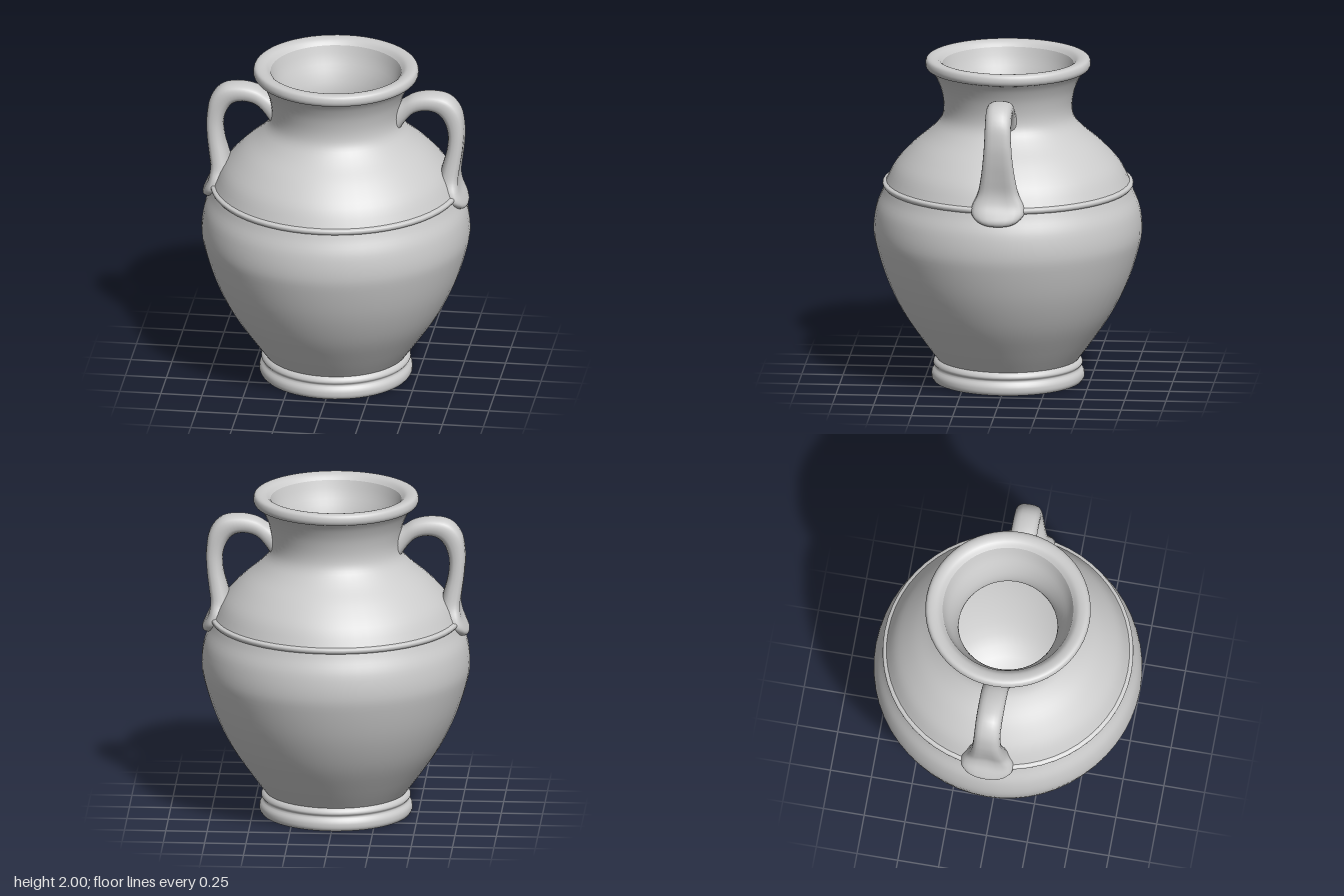
import * as THREE from 'three';

const clay = new THREE.MeshStandardMaterial({ color: 0xcccccc, side: THREE.DoubleSide });

// Smooth curve through [radius, height] points, sampled for a lathe
const smooth = (pts, per = 3) =>
  new THREE.SplineCurve(pts.map(p => new THREE.Vector2(...p))).getPoints((pts.length - 1) * per);

function lathe(name, pts) {
  const mesh = new THREE.Mesh(new THREE.LatheGeometry(pts, 56), clay);
  mesh.name = name;
  return mesh;
}

// Strap handle: oval sections swept between an outer and an inner edge line
function handleGeometry() {
  // outer x, outer y, inner x, inner y, half width, groove depth
  const stations = [
    [0.34, 1.76, 0.36, 1.56, 0.09, 0],
    [0.41, 1.80, 0.42, 1.66, 0.08, 0],
    [0.48, 1.84, 0.48, 1.725, 0.08, 0],
    [0.58, 1.858, 0.56, 1.745, 0.08, 0],
    [0.69, 1.84, 0.625, 1.725, 0.08, 0],
    [0.765, 1.76, 0.665, 1.67, 0.08, 0.05],
    [0.79, 1.64, 0.685, 1.59, 0.083, 0.12],
    [0.79, 1.53, 0.677, 1.49, 0.092, 0.2],
    [0.78, 1.42, 0.65, 1.39, 0.106, 0.28],
    [0.77, 1.33, 0.63, 1.30, 0.125, 0.3],
    [0.775, 1.26, 0.65, 1.24, 0.155, 0.22],
    [0.795, 1.20, 0.67, 1.20, 0.16, 0.06],
    [0.808, 1.16, 0.69, 1.165, 0.13, 0],
    [0.80, 1.135, 0.70, 1.14, 0.085, 0],
    [0.77, 1.125, 0.72, 1.13, 0.02, 0],
  ];
  const curve = pick => new THREE.CatmullRomCurve3(
    stations.map(s => new THREE.Vector3(...pick(s))), false, 'catmullrom', 0.5);
  const outer = curve(s => [s[0], s[1], s[4]]);
  const inner = curve(s => [s[2], s[3], s[5]]);
  const rows = 56, sides = 20, pos = [], index = [];
  for (let i = 0; i <= rows; i++) {
    const o = outer.getPoint(i / rows), n = inner.getPoint(i / rows);
    for (let j = 0; j < sides; j++) {
      const a = j / sides * Math.PI * 2, c = Math.cos(a), s = Math.sin(a);
      let h = Math.sign(c) * Math.abs(c) ** 0.8;
      if (c > 0) h *= 1 - n.z * c ** 6;
      const k = (1 + h) / 2;
      pos.push(n.x + (o.x - n.x) * k, n.y + (o.y - n.y) * k, o.z * Math.sign(s) * Math.abs(s) ** 0.8);
      if (i < rows) {
        const p = i * sides + j, q = i * sides + (j + 1) % sides;
        index.push(p, q, p + sides, q, q + sides, p + sides);
      }
    }
  }
  const g = new THREE.BufferGeometry();
  g.setAttribute('position', new THREE.Float32BufferAttribute(pos, 3));
  g.setIndex(index);
  g.computeVertexNormals();
  return g;
}

export function createModel() {
  const vase = new THREE.Group();
  vase.name = 'vase';

  // Flat underside and the two-step foot ring
  vase.add(lathe('underside', [new THREE.Vector2(0, 0), new THREE.Vector2(0.45, 0)]));
  vase.add(lathe('foot', smooth([[0.45, 0], [0.462, 0.02], [0.46, 0.055], [0.44, 0.085],
    [0.452, 0.105], [0.445, 0.125], [0.428, 0.14]])));

  // Belly up to the shoulder ridge
  vase.add(lathe('belly', smooth([[0.428, 0.135], [0.52, 0.26], [0.64, 0.44], [0.735, 0.64],
    [0.797, 0.84], [0.812, 0.95], [0.797, 1.07], [0.762, 1.16], [0.748, 1.2]], 4)));
  vase.add(lathe('shoulderRidge', smooth([[0.748, 1.2], [0.757, 1.212], [0.755, 1.228], [0.735, 1.235]])));

  // Shoulder and flaring neck
  vase.add(lathe('shoulderAndNeck', smooth([[0.735, 1.235], [0.68, 1.34], [0.58, 1.45], [0.47, 1.545],
    [0.405, 1.62], [0.388, 1.7], [0.403, 1.8], [0.435, 1.88], [0.465, 1.925]], 4)));

  // Rolled rim
  vase.add(lathe('rim', smooth([[0.465, 1.925], [0.49, 1.935], [0.5, 1.96], [0.492, 1.99],
    [0.465, 2], [0.425, 1.992], [0.395, 1.965]], 4)));

  // Hollow inside, from the throat to the bowl floor
  vase.add(lathe('interior', smooth([[0.395, 1.965], [0.37, 1.89], [0.325, 1.79], [0.3, 1.69],
    [0.32, 1.6], [0.48, 1.44], [0.63, 1.25], [0.71, 1.0], [0.67, 0.72], [0.55, 0.44],
    [0.4, 0.24], [0.2, 0.15], [0, 0.13]])));

  // Matching handles
  const geometry = handleGeometry();
  [['leftHandle', 0], ['rightHandle', Math.PI]].forEach(([name, turn]) => {
    const handle = new THREE.Mesh(geometry, clay);
    handle.name = name;
    handle.rotation.y = turn;
    vase.add(handle);
  });
  return vase;
}
